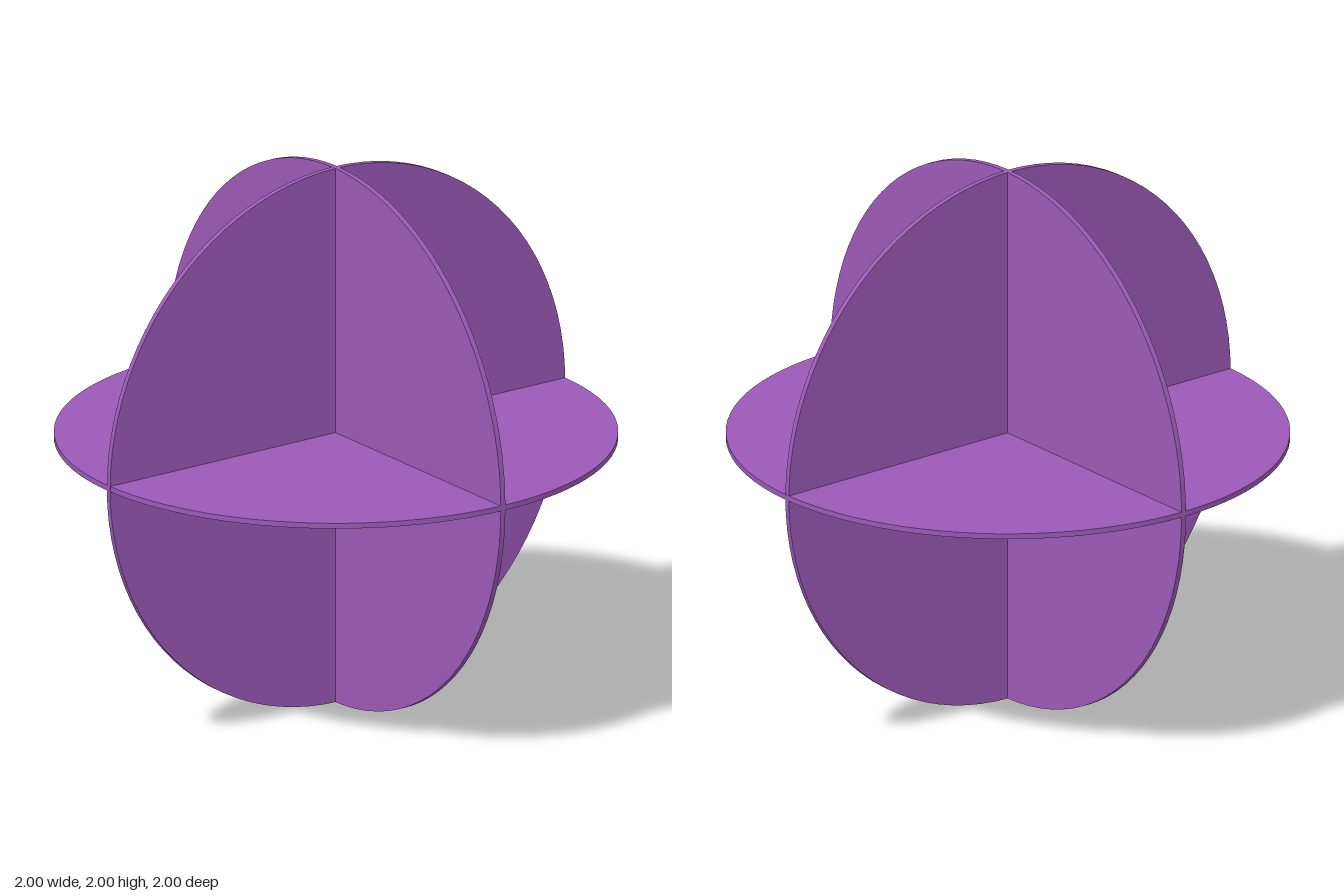
import * as THREE from 'three';

export function createModel() {
  const group = new THREE.Group();
  group.name = 'interlockingDiscs';
  const material = new THREE.MeshStandardMaterial({ color: 0x9b59b6 });

  // One thin disc, lying flat by default
  const geometry = new THREE.CylinderGeometry(1, 1, 0.02, 96);

  // Three mutually perpendicular discs sharing one centre
  const discs = [
    ['horizontalDisc', 0, 0],
    ['frontDisc', Math.PI / 2, 0],
    ['sideDisc', 0, Math.PI / 2],
  ];
  for (const [name, rx, rz] of discs) {
    const disc = new THREE.Mesh(geometry, material);
    disc.name = name;
    disc.rotation.set(rx, 0, rz);
    disc.position.y = 1;
    group.add(disc);
  }
  return group;
}
